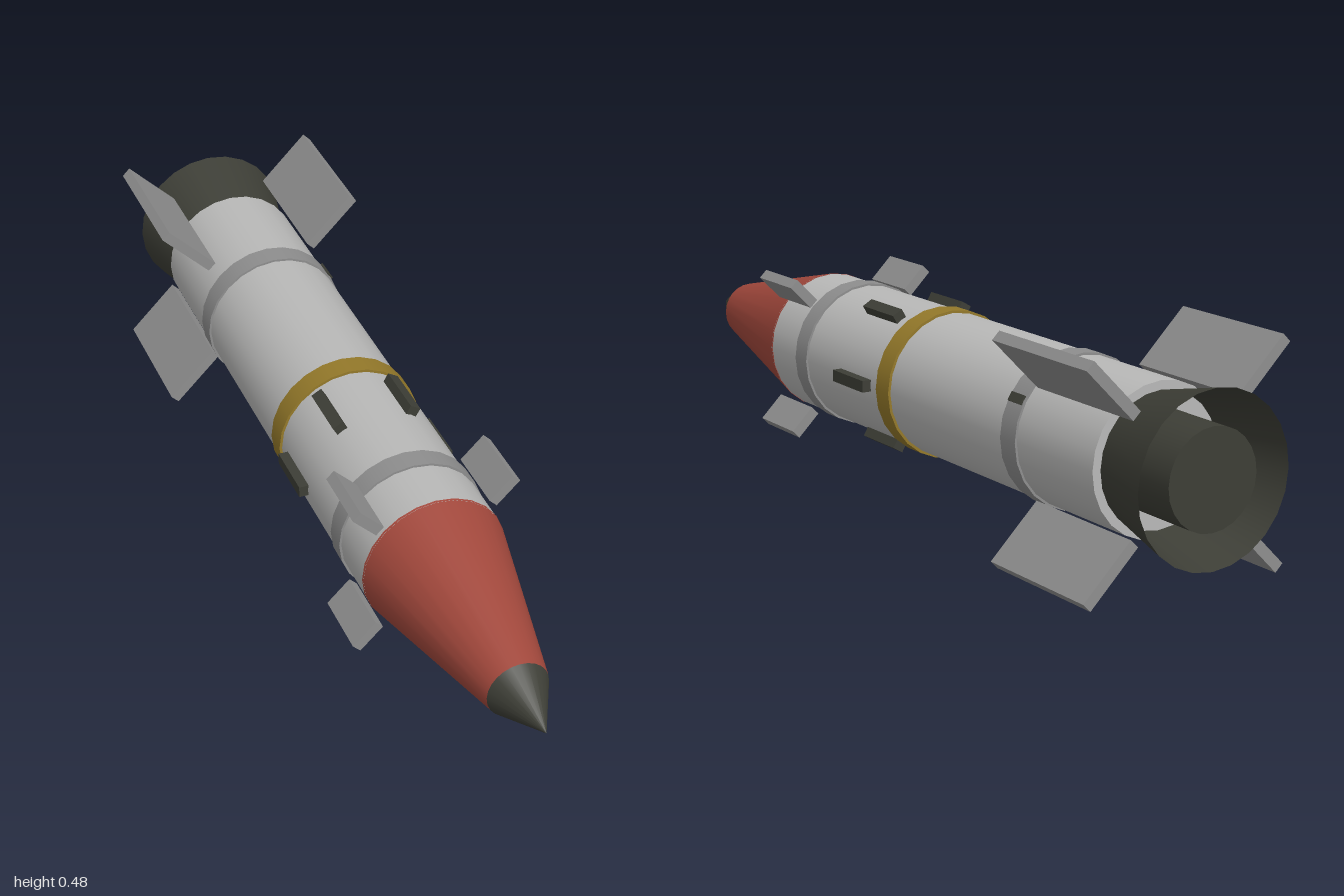
import * as THREE from 'three';

const AXIS_Y = 0.244;
const SIDES = 24;

function material(name, color, side = THREE.FrontSide) {
  const m = new THREE.MeshStandardMaterial({ color, side });
  m.name = name;
  return m;
}

export function createModel() {
  const white = material('pale grey paint', 0xb9b9b8);
  const grey = material('fin grey', 0x8e8e8e);
  const red = material('red paint', 0xa2483c);
  const yellow = material('yellow band paint', 0x94792a);
  const dark = material('dark metal', 0x3d3e36, THREE.DoubleSide);

  const model = new THREE.Group();
  model.name = 'rocket';
  const rocket = new THREE.Group();
  rocket.name = 'airframe';
  rocket.position.y = AXIS_Y;
  model.add(rocket);

  // Round section along z, from the rear to the front
  function section(name, mat, zRear, zFront, rRear, rFront, open = false) {
    const g = new THREE.CylinderGeometry(rFront, rRear, zFront - zRear, SIDES, 1, open);
    g.rotateX(Math.PI / 2);
    const mesh = new THREE.Mesh(g, mat);
    mesh.name = name;
    mesh.position.z = (zRear + zFront) / 2;
    rocket.add(mesh);
  }

  // Box standing out from the axis at a given angle
  function radialBox(name, mat, angle, rIn, rOut, width, zRear, zFront) {
    const mesh = new THREE.Mesh(new THREE.BoxGeometry(rOut - rIn, width, zFront - zRear), mat);
    const r = (rIn + rOut) / 2;
    mesh.name = name;
    mesh.position.set(r * Math.cos(angle), r * Math.sin(angle), (zRear + zFront) / 2);
    mesh.rotation.z = angle;
    rocket.add(mesh);
  }

  // Body and nose
  section('body', white, -0.83, 0.455, 0.16, 0.16);
  section('noseCone', red, 0.45, 0.87, 0.161, 0.067);
  section('noseTip', dark, 0.87, 1.0, 0.067, 0.0005);

  // Bands round the body
  section('frontRing', grey, 0.28, 0.33, 0.165, 0.165);
  section('yellowBand', yellow, -0.085, -0.033, 0.166, 0.166);
  section('rearRing', grey, -0.573, -0.52, 0.165, 0.165);

  // Flared open nozzle with its core
  section('nozzle', dark, -1.0, -0.825, 0.18, 0.14, true);
  section('nozzleCore', dark, -0.995, -0.825, 0.105, 0.105);

  // Four tail fins and four small front fins
  for (let i = 0; i < 4; i++) {
    const a = Math.PI / 4 + i * Math.PI / 2;
    radialBox('tailFin', grey, a, 0.176, 0.33, 0.024, -0.92, -0.605);
    radialBox('frontFin', grey, a, 0.178, 0.25, 0.024, 0.31, 0.46);
  }

  // Six small thruster blocks
  for (let i = 0; i < 6; i++) {
    radialBox('thrusterBlock', dark, i * Math.PI / 3, 0.152, 0.18, 0.026, 0.0, 0.13);
  }

  // Small clip on the rear ring
  radialBox('ringClip', dark, 0.53, 0.155, 0.169, 0.02, -0.57, -0.525);

  return model;
}
